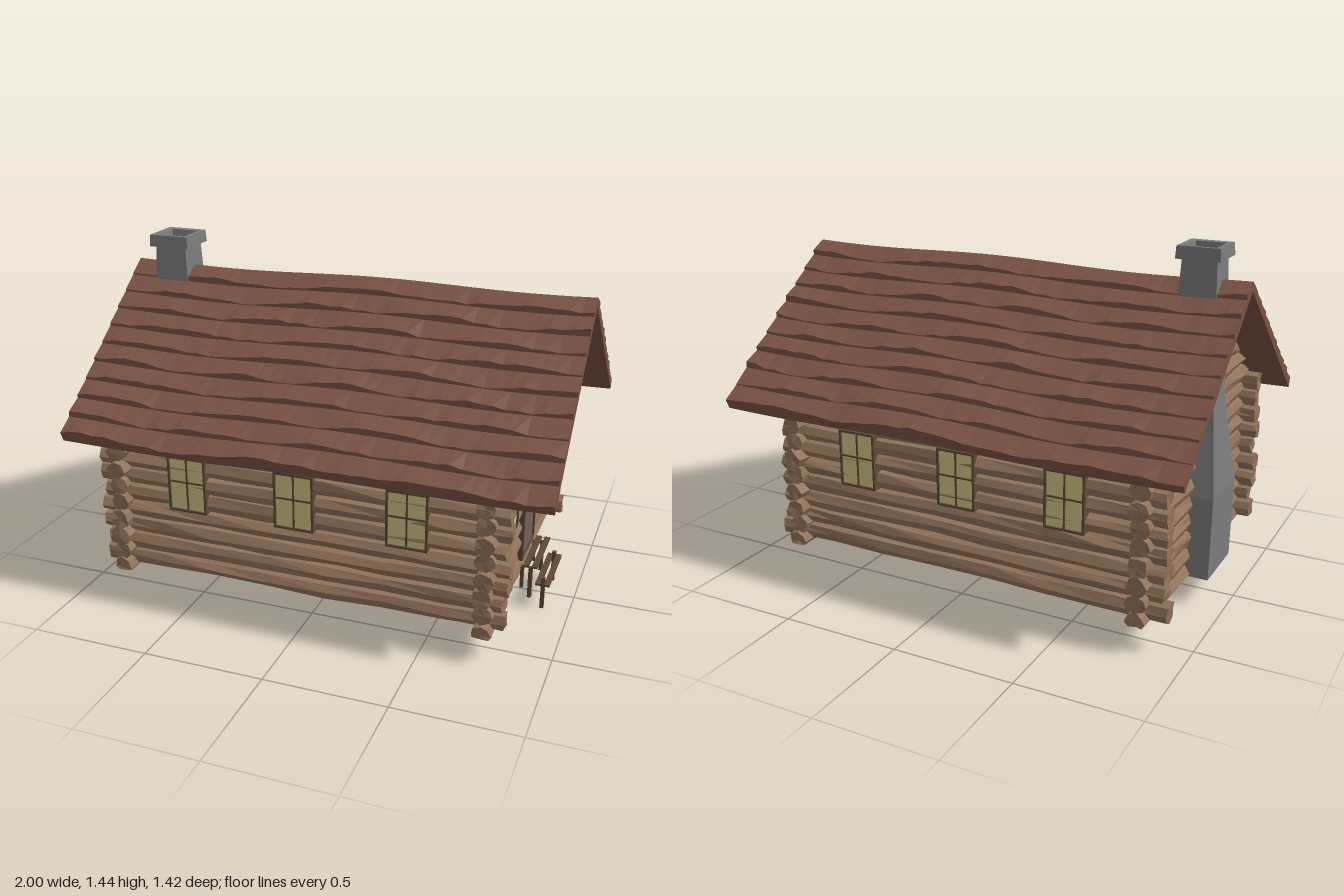
import * as THREE from 'three';

const mat = (color) => new THREE.MeshStandardMaterial({ color, flatShading: true });
const WOOD = mat(0x93745b), ROOF = mat(0x7a5344), STONE = mat(0x7c7c7c);
const FRAME = mat(0x5f4936), GLASS = mat(0xd2c684), DOOR = mat(0x735f57), DARK = mat(0x3b2c22);

const BASE = 0.115, PITCH = 0.0745, SLOPE = 0.81, APEX = 1.275;
const WALL_Z = 0.545, WALL_X = [0.74, -0.81];

// Repeatable noise from a position, in -1..1
function noise(a, b, c) {
  const s = Math.sin(a * 127.1 + b * 311.7 + c * 74.7) * 43758.5453;
  return 2 * (s - Math.floor(s)) - 1;
}

function add(parent, name, geometry, material) {
  const mesh = new THREE.Mesh(geometry, material);
  mesh.name = name;
  parent.add(mesh);
  return mesh;
}

function box(parent, name, size, pos, material) {
  const mesh = add(parent, name, new THREE.BoxGeometry(...size), material);
  mesh.position.set(...pos);
  return mesh;
}

// Rough-hewn log, cut flat at the base and trimmed under the roof slope
function log(parent, name, axis, length, x, y, z) {
  const g = new THREE.CylinderGeometry(0.041, 0.041, length, 8, 7);
  g.rotateZ(Math.PI / 2);
  if (axis === 'z') g.rotateY(Math.PI / 2);
  g.translate(x, y, z);
  const p = g.attributes.position;
  for (let i = 0; i < p.count; i++) {
    const v = new THREE.Vector3().fromBufferAttribute(p, i);
    const k = v.toArray().map((n) => Math.round(n * 1000) / 100);
    v.x += 0.006 * noise(k[0], k[1], k[2]);
    v.y += 0.006 * noise(k[1], k[2], k[0]);
    v.z += 0.006 * noise(k[2], k[0], k[1]);
    v.y = THREE.MathUtils.clamp(v.y, BASE, APEX - 0.005);
    const limit = (APEX - v.y) / SLOPE;
    v.z = THREE.MathUtils.clamp(v.z, -limit, limit);
    p.setXYZ(i, v.x, v.y, v.z);
  }
  g.computeVertexNormals();
  add(parent, name, g, WOOD);
}

function buildWalls() {
  const walls = new THREE.Group();
  walls.name = 'logWalls';
  // Long walls
  for (const s of [1, -1])
    for (let i = 0; i < 9; i++) {
      const y = 0.165 + i * PITCH;
      log(walls, 'longWallLog', 'x', 1.73 + 0.03 * noise(i, s, 3), -0.04, y, s * WALL_Z);
    }
  // End walls rising into the gables
  for (const x of WALL_X)
    for (let i = 0; i < 16; i++) {
      const y = 0.13 + i * PITCH;
      const length = i < 9 ? 1.24 + 0.02 * noise(i, x, 1) : (2 * (APEX - y + 0.045)) / SLOPE;
      log(walls, i < 9 ? 'endWallLog' : 'gableLog', 'z', length, x, y, 0);
    }
  return walls;
}

// Overlapping wavy shingle rows as one closed section swept along x
function roofGeometry() {
  const ROWS = 10, STATIONS = 40;
  const pos = [], index = [];
  let n = 0;
  for (let i = 0; i <= STATIONS; i++) {
    const x = -1 + (2 * i) / STATIONS;
    const wave = 0.007 * Math.sin(x * 5 + 1) + 0.006 * x;
    const side = (s) => {
      const pts = [];
      for (let r = 0; r < ROWS; r++) {
        const z0 = 0.071 * r, z1 = 0.071 * (r + 1);
        const lip = 0.016 + 0.009 * Math.sin(x * (9 + (r % 3) * 2) + r * 2.3 + s) + 0.005 * noise(i, r, s);
        pts.push([s * z0, 1.312 - 0.81 * z0 + wave], [s * z1, 1.312 - 0.81 * z1 + lip + wave]);
      }
      return pts;
    };
    const top = [...side(1).reverse(), ...side(-1)];
    const under = top.map(([z]) => [z * 0.975, APEX - SLOPE * Math.abs(z) * 0.985 + wave * 0.6]).reverse();
    const ring = [...top, ...under];
    n = ring.length;
    for (const [z, y] of ring) pos.push(x, y, z);
  }
  for (let i = 0; i < STATIONS; i++)
    for (let j = 0; j < n; j++) {
      const a = i * n + j, b = i * n + ((j + 1) % n), c = a + n, d = b + n;
      index.push(a, c, d, a, d, b);
    }
  // End caps
  const last = STATIONS * n;
  for (let j = 0; j < n / 2 - 1; j++) {
    const a = j, b = j + 1, c = n - 2 - j, d = n - 1 - j;
    index.push(a, b, c, a, c, d);
    index.push(last + a, last + c, last + b, last + a, last + d, last + c);
  }
  const g = new THREE.BufferGeometry();
  g.setAttribute('position', new THREE.Float32BufferAttribute(pos, 3));
  g.setIndex(index);
  g.computeVertexNormals();
  return g;
}

// Rectangular frame of four bars around an opening, facing +z
function frame(parent, w, h, t, depth) {
  for (const s of [1, -1]) {
    box(parent, 'frameSide', [t, h, depth], [(s * (w - t)) / 2, 0, 0], FRAME);
    box(parent, 'frameRail', [w, t, depth], [0, (s * (h - t)) / 2, 0], FRAME);
  }
}

function windowUnit(w, h, depth) {
  const g = new THREE.Group();
  g.name = 'window';
  box(g, 'glass', [w - 0.004, h - 0.004, depth - 0.016], [0, 0, 0], GLASS);
  frame(g, w, h, 0.009, depth);
  box(g, 'mullion', [0.007, h, depth - 0.006], [0, 0, 0], FRAME);
  box(g, 'crossbar', [w, 0.007, depth - 0.006], [0, 0.01, 0], FRAME);
  return g;
}

function buildDoor() {
  const g = new THREE.Group();
  g.name = 'door';
  box(g, 'doorPanel', [0.23, 0.48, 0.09], [0, 0, 0], DOOR);
  frame(g, 0.242, 0.488, 0.01, 0.105);
  const pane = windowUnit(0.075, 0.105, 0.104);
  pane.position.y = 0.125;
  g.add(pane);
  box(g, 'doorHandle', [0.035, 0.01, 0.02], [0.073, -0.018, 0.052], DARK);
  return g;
}

function buildChimney() {
  const g = new THREE.Group();
  g.name = 'chimney';
  // Tapering breast: height, outer x, inner x, half depth
  const levels = [
    [BASE, -0.93, -0.7, 0.14], [0.46, -0.935, -0.7, 0.14], [0.72, -0.905, -0.72, 0.09],
    [0.88, -0.89, -0.73, 0.075], [1.28, -0.88, -0.735, 0.07],
  ];
  const breast = new THREE.BoxGeometry(1, 1, 1, 1, 4, 1);
  const p = breast.attributes.position;
  for (let i = 0; i < p.count; i++) {
    const [y, outer, inner, half] = levels[Math.round((p.getY(i) + 0.5) * 4)];
    p.setXYZ(i, p.getX(i) < 0 ? outer : inner, y, Math.sign(p.getZ(i)) * half);
  }
  breast.computeVertexNormals();
  add(g, 'chimneyBreast', breast, STONE);
  // Square stack with a hollow cap
  const profile = [
    [0.078, 1.2], [0.07, 1.385], [0.09, 1.39], [0.087, 1.44], [0.062, 1.438], [0.056, 1.39], [0, 1.385],
  ].map(([r, y]) => new THREE.Vector2(r * Math.SQRT2, y));
  const stack = add(g, 'chimneyStack', new THREE.LatheGeometry(profile, 4, Math.PI / 4), STONE);
  stack.position.x = -0.807;
  return g;
}

function buildSteps() {
  const g = new THREE.Group();
  g.name = 'steps';
  // Each step: centre x, tread height, post bottom, post top
  for (const [x, y, low, high] of [[0.83, 0.188, 0.04, 0.18], [0.885, 0.113, 0, 0.14]]) {
    for (const dx of [-0.018, 0.018]) box(g, 'treadSlat', [0.024, 0.009, 0.285], [x + dx, y, 0], FRAME);
    for (const z of [0.125, -0.12])
      box(g, 'stepPost', [0.016, high - low, 0.016], [x, (low + high) / 2, z], FRAME);
  }
  for (const z of [0.125, -0.12]) box(g, 'backPost', [0.014, 0.1, 0.014], [0.795, 0.13, z], FRAME);
  return g;
}

export function createModel() {
  const cabin = new THREE.Group();
  cabin.name = 'logCabin';
  cabin.add(buildWalls());
  add(cabin, 'shingleRoof', roofGeometry(), ROOF);

  // Three windows along each long wall
  for (const s of [1, -1])
    for (const x of [-0.502, -0.035, 0.43]) {
      const w = windowUnit(0.168, 0.24, 0.1);
      w.position.set(x, 0.543, s * WALL_Z);
      cabin.add(w);
    }
  // Door between two windows on the end wall
  for (const s of [1, -1]) {
    const w = windowUnit(0.168, 0.24, 0.1);
    w.position.set(WALL_X[0], 0.545, s * 0.329);
    w.rotation.y = Math.PI / 2;
    cabin.add(w);
  }
  const door = buildDoor();
  door.position.set(WALL_X[0], 0.442, 0);
  door.rotation.y = Math.PI / 2;
  cabin.add(door, buildChimney(), buildSteps());
  return cabin;
}
